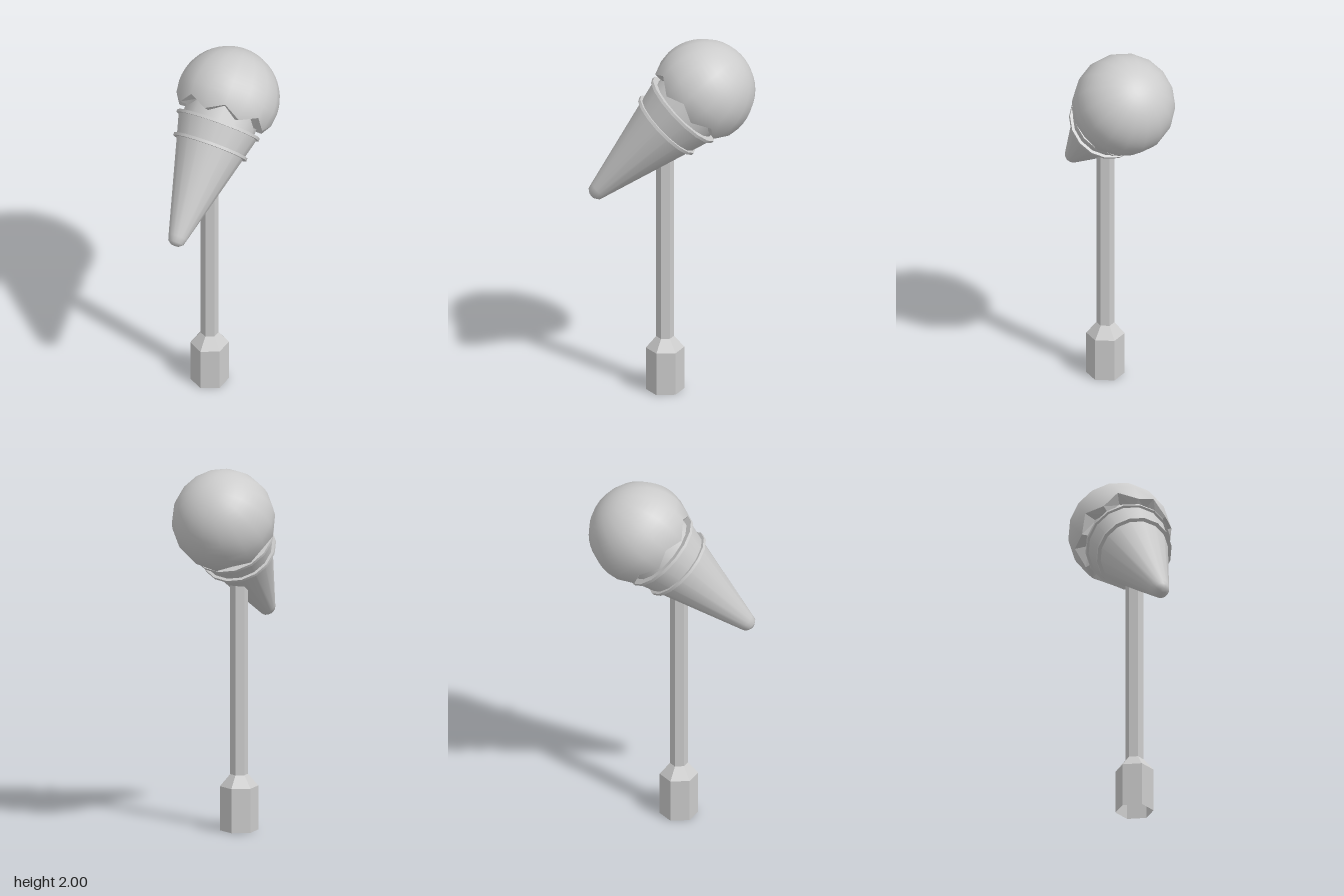
import * as THREE from 'three';

const SIDES = 16;
const R = 0.277; // scoop radius

export function createModel() {
  const model = new THREE.Group();
  model.name = 'iceCreamOnPost';
  const grey = new THREE.MeshStandardMaterial({ color: 0xcccccc, side: THREE.DoubleSide });
  grey.name = 'lightGrey';

  // Revolved profile of [radius, height] pairs, listed from bottom to top
  const lathe = (points, sides = SIDES) =>
    new THREE.LatheGeometry(points.map(([r, y]) => new THREE.Vector2(r, y)), sides);
  const flat = (geometry) => {
    const g = geometry.toNonIndexed();
    g.computeVertexNormals();
    return g;
  };
  const add = (parent, name, geometry) => {
    const mesh = new THREE.Mesh(geometry, grey);
    mesh.name = name;
    parent.add(mesh);
    return mesh;
  };

  // Six-sided post with a wide foot, open underneath
  const post = add(model, 'post', flat(lathe(
    [[0.103, 0], [0.103, 0.24], [0.048, 0.305], [0.048, 1.42]], 6)));
  post.position.z = 0.038;

  // Tilted cone and scoop; local origin is the scoop's centre
  const treat = new THREE.Group();
  treat.name = 'iceCream';
  treat.position.set(0, 1.723, -0.168);
  treat.rotation.x = -Math.PI / 4;
  model.add(treat);

  // Cone with a rounded tip
  add(treat, 'cone', lathe([[0.052, -0.795], [0.222, -0.16]]));
  add(treat, 'coneTip', lathe([[0, -0.846], [0.022, -0.843], [0.043, -0.827], [0.052, -0.795]]));

  // Two raised bands; each face is its own strip so edges stay sharp
  for (const [name, s, inner, outer] of [
    ['lowerBand', -0.28, 0.18, 0.208],
    ['upperBand', -0.157, 0.18, 0.234],
  ]) {
    const band = new THREE.Group();
    band.name = name;
    treat.add(band);
    const lo = s - 0.008, hi = s + 0.008;
    add(band, 'bandUnderside', lathe([[inner, lo], [outer, lo]]));
    add(band, 'bandEdge', lathe([[outer, lo], [outer, hi]]));
    add(band, 'bandTop', lathe([[outer, hi], [inner, hi]]));
  }

  // Recessed neck between cone and scoop
  add(treat, 'neck', lathe([[0.2, -0.16], [0.2, -0.04]]));

  // Scoop: a sphere whose lower rim zigzags
  const rimHeight = (i) => (i % 2 ? -0.065 : -0.115);
  const profile = [[Math.sqrt(R * R - 0.09 * 0.09), -0.09]];
  for (let k = 0; k <= 12; k++) {
    const a = (k / 12) * Math.PI / 2;
    profile.push([k === 12 ? 0 : R * Math.cos(a), R * Math.sin(a)]);
  }
  const scoop = lathe(profile);
  const p = scoop.attributes.position;
  const n = scoop.attributes.normal;
  for (let i = 0; i <= SIDES; i++) {
    const phi = (i / SIDES) * Math.PI * 2, y = rimHeight(i), r = Math.sqrt(R * R - y * y);
    p.setXYZ(i * profile.length, r * Math.sin(phi), y, r * Math.cos(phi));
  }
  for (let i = 0; i < p.count; i++) n.setXYZ(i, p.getX(i) / R, p.getY(i) / R, p.getZ(i) / R);
  add(treat, 'scoop', scoop);

  // Underside of the zigzag rim, running in to the neck
  const lip = lathe([[0.195, -0.09], [0.25, -0.09]]);
  const q = lip.attributes.position;
  for (let i = 0; i <= SIDES; i++) {
    const phi = (i / SIDES) * Math.PI * 2, y = rimHeight(i);
    [0.195, Math.sqrt(R * R - y * y)].forEach((r, j) =>
      q.setXYZ(i * 2 + j, r * Math.sin(phi), y, r * Math.cos(phi)));
  }
  add(treat, 'scoopLip', flat(lip));

  return model;
}
